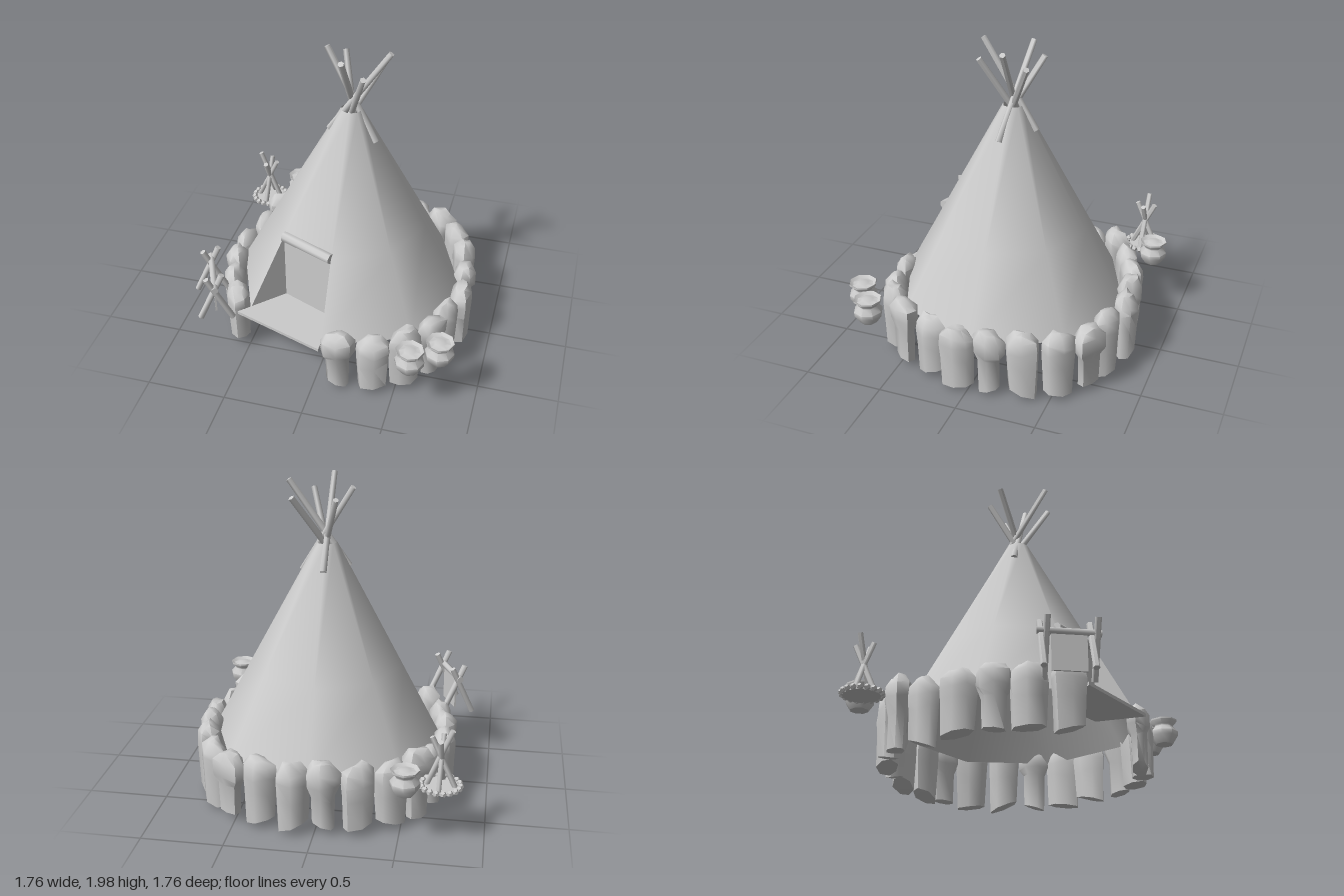
import * as THREE from 'three';
import { toCreasedNormals } from 'three/addons/utils/BufferGeometryUtils.js';

const grey = new THREE.MeshStandardMaterial({ color: 0xcccccc });
const thin = new THREE.MeshStandardMaterial({ color: 0xcccccc, side: THREE.DoubleSide });
const V = (x, y, z) => new THREE.Vector3(x, y, z);

// Tent centre and slope
const CX = 0.045, CZ = -0.01, TOP = 1.6, DOOR = 0.82, GROUND = 0.34;
const tentRadius = (y) => 0.065 + (TOP - y) * 0.535;
const onTent = (theta, y, r = tentRadius(y)) => V(CX + r * Math.sin(theta), y, CZ + r * Math.cos(theta));

// Repeatable noise in -1..1
const noise = (n) => {
  const s = Math.sin(n * 127.1 + 3.7) * 43758.5453;
  return 2 * (s - Math.floor(s)) - 1;
};

function add(parent, name, geometry, material = grey) {
  const mesh = new THREE.Mesh(geometry, material);
  mesh.name = name;
  parent.add(mesh);
  return mesh;
}

function group(parent, name, x = 0, y = 0, z = 0) {
  const g = new THREE.Group();
  g.name = name;
  g.position.set(x, y, z);
  parent.add(g);
  return g;
}

// Straight round bar between two points
function bar(parent, name, a, b, r0, r1 = r0, sides = 6) {
  const geo = toCreasedNormals(new THREE.CylinderGeometry(r1, r0, a.distanceTo(b), sides), 1.2);
  const mesh = add(parent, name, geo);
  mesh.position.copy(a).add(b).multiplyScalar(0.5);
  mesh.quaternion.setFromUnitVectors(V(0, 1, 0), b.clone().sub(a).normalize());
}

// Flat sheet through three or more corners, as a fan
function sheet(parent, name, corners) {
  const points = [];
  for (let i = 1; i < corners.length - 1; i++) points.push(corners[0], corners[i], corners[i + 1]);
  const geo = new THREE.BufferGeometry().setFromPoints(points);
  geo.computeVertexNormals();
  add(parent, name, geo, thin);
}

// One eight-sided band of the cover
function coverBand(parent, name, yTop, yBottom, segments) {
  const geo = new THREE.CylinderGeometry(tentRadius(yTop), tentRadius(yBottom), yTop - yBottom,
    segments, 1, true, 0, segments * Math.PI / 4);
  add(parent, name, geo, thin).position.set(CX, (yTop + yBottom) / 2, CZ);
}

// Upright boulder with a slanted foot; some narrow to a leg below the head
function boulder(parent, x, z, seed) {
  const legged = seed % 3 === 0;
  const low = 0.055 + 0.015 * noise(seed), rise = 0.03 * noise(seed + 50), slant = 0.45 * noise(seed + 21);
  const profile = (legged
    ? [[0, low], [0.066, low + 0.01], [0.07, 0.26], [0.1, 0.33], [0.102, 0.41], [0.06, 0.465], [0, 0.48]]
    : [[0, low], [0.086, low + 0.01], [0.094, 0.25], [0.1, 0.34], [0.094, 0.4], [0.05, 0.45], [0, 0.46]])
    .map(([r, y]) => new THREE.Vector2(r, y > 0.3 ? y + rise : y));
  const sides = 7;
  const geo = new THREE.LatheGeometry(profile, sides);
  const p = geo.attributes.position;
  for (let k = 0; k < p.count; k++) {
    const side = Math.floor(k / profile.length) % sides, ring = k % profile.length;
    const s = 1 + 0.1 * noise(seed * 11 + side) + 0.03 * noise(seed + side * 5 + ring * 17);
    const onAxis = ring === 0 || ring === profile.length - 1;
    const lift = onAxis ? 0 : ring === 1 ? slant * p.getX(k) : 0.018 * noise(seed * 3 + side * 7 + ring);
    p.setXYZ(k, p.getX(k) * s * 1.1, p.getY(k) + lift, p.getZ(k) * s * 0.74);
  }
  const mesh = add(parent, 'boulder', toCreasedNormals(geo, 1.05));
  mesh.position.set(x, 0, z);
  mesh.rotation.y = Math.atan2(x - CX, z - CZ) + 0.2 * noise(seed + 9);
}

// Filled jar with a flared rim
function jar(parent, x, z) {
  const profile = [[0, 0], [0.055, 0], [0.088, 0.05], [0.09, 0.08], [0.06, 0.115], [0.062, 0.125],
    [0.088, 0.15], [0.086, 0.16], [0.066, 0.145], [0.035, 0.155], [0, 0.16]].map(([r, y]) => new THREE.Vector2(r, y));
  add(parent, 'jar', toCreasedNormals(new THREE.LatheGeometry(profile, 8), 0.95)).position.set(x, GROUND, z);
}

export function createModel() {
  const model = new THREE.Group();
  model.name = 'tentCamp';

  // Cover: full cone above, one side set back below for the doorway
  const tent = group(model, 'tent');
  coverBand(tent, 'upperCover', TOP, DOOR, 8);
  coverBand(tent, 'lowerCover', DOOR, GROUND, 7);

  // Doorway alcove: upright panel with a cheek on each side
  const angles = [-Math.PI / 4, 0];
  const inner = tentRadius(DOOR);
  const heads = angles.map((a) => onTent(a, DOOR));
  const feet = angles.map((a) => onTent(a, GROUND, inner));
  sheet(tent, 'doorPanel', [feet[0], feet[1], heads[1], heads[0]]);
  angles.forEach((a, i) => sheet(tent, 'doorCheek', [heads[i], feet[i], onTent(a, GROUND)]));

  // Rolled door cloth above the opening
  bar(tent, 'doorRoll', heads[0], heads[1], 0.034, 0.034, 8);

  // Mat lying in the doorway
  const corners = [...feet, onTent(0, GROUND, 0.785), onTent(-Math.PI / 4, GROUND, 0.83)];
  const matShape = new THREE.Shape(corners.map((c) => new THREE.Vector2(c.x, -c.z)));
  const mat = add(tent, 'doorMat', new THREE.ExtrudeGeometry(matShape, { depth: 0.02, bevelEnabled: false }));
  mat.rotation.x = -Math.PI / 2;
  mat.position.y = GROUND - 0.005;

  // Crossing poles at the peak
  const poles = group(model, 'poles');
  [
    [V(-0.125, 1.96, -0.08), V(0.205, 1.41, 0.025)],
    [V(-0.035, 1.9, -0.18), V(0.1, 1.42, 0.08)],
    [V(0.03, 1.995, 0.185), V(0.045, 1.45, -0.16)],
    [V(0.155, 1.9, 0.165), V(0, 1.44, -0.08)],
    [V(0.275, 1.985, -0.03), V(-0.09, 1.45, 0.005)],
    [V(0.235, 1.9, -0.16), V(-0.03, 1.44, 0.06)],
  ].forEach(([top, foot]) => bar(poles, 'pole', foot, top, 0.022, 0.019));

  // Ring of boulders, open at the doorway
  const ring = group(model, 'boulderRing');
  [
    [0.14, 0.71], [0.36, 0.68], [0.55, 0.6], [0.68, 0.47], [0.74, 0.27], [0.8, 0.07], [0.79, -0.13],
    [0.75, -0.33], [0.66, -0.53], [0.53, -0.67], [0.34, -0.73], [0.13, -0.79], [-0.05, -0.77],
    [-0.26, -0.72], [-0.44, -0.64], [-0.58, -0.53], [-0.65, -0.34], [-0.72, -0.12], [-0.71, 0.09],
    [-0.67, 0.27], [-0.57, 0.47],
  ].forEach(([x, z], i) => boulder(ring, x, z, i));

  // Jars
  const jars = group(model, 'jars');
  [[0.61, 0.785], [0.77, 0.67], [-0.535, -0.795]].forEach(([x, z]) => jar(jars, x, z));

  // Campfire: pebble circle around leaning sticks
  const fire = group(model, 'campfire', -0.735, GROUND, -0.685);
  const pebble = new THREE.DodecahedronGeometry(0.02);
  for (let i = 0; i < 18; i++) {
    const a = (i / 18) * Math.PI * 2;
    add(fire, 'pebble', pebble).position.set(0.115 * Math.cos(a), 0.018, 0.115 * Math.sin(a));
  }
  const ashes = add(fire, 'ashes', new THREE.CylinderGeometry(0.11, 0.11, 0.012, 16));
  ashes.position.y = 0.01;
  for (let i = 0; i < 4; i++) {
    const a = (i / 4) * Math.PI * 2 + 0.1;
    const c = Math.cos(a), s = Math.sin(a);
    bar(fire, 'stick', V(0.085 * c, 0.01, 0.085 * s), V(-0.06 * c, i ? 0.32 : 0.37, -0.06 * s), 0.017);
  }

  // Drying rack: two crossed frames, a rail and a hanging hide
  const rack = group(model, 'dryingRack', -0.715, GROUND, 0.515);
  rack.rotation.y = Math.atan2(0.13, 0.28);
  for (const z of [-0.14, 0.14]) {
    for (const s of [-1, 1]) {
      bar(rack, 'rackLeg', V(0.1 * s, 0, z + 0.015 * s), V(-0.05 * s, 0.32, z + 0.015 * s), 0.019);
    }
  }
  bar(rack, 'rackRail', V(0, 0.245, -0.18), V(0, 0.245, 0.18), 0.022);
  const hide = add(rack, 'hangingHide', new THREE.BoxGeometry(0.012, 0.23, 0.2));
  hide.position.y = 0.13;

  return model;
}
